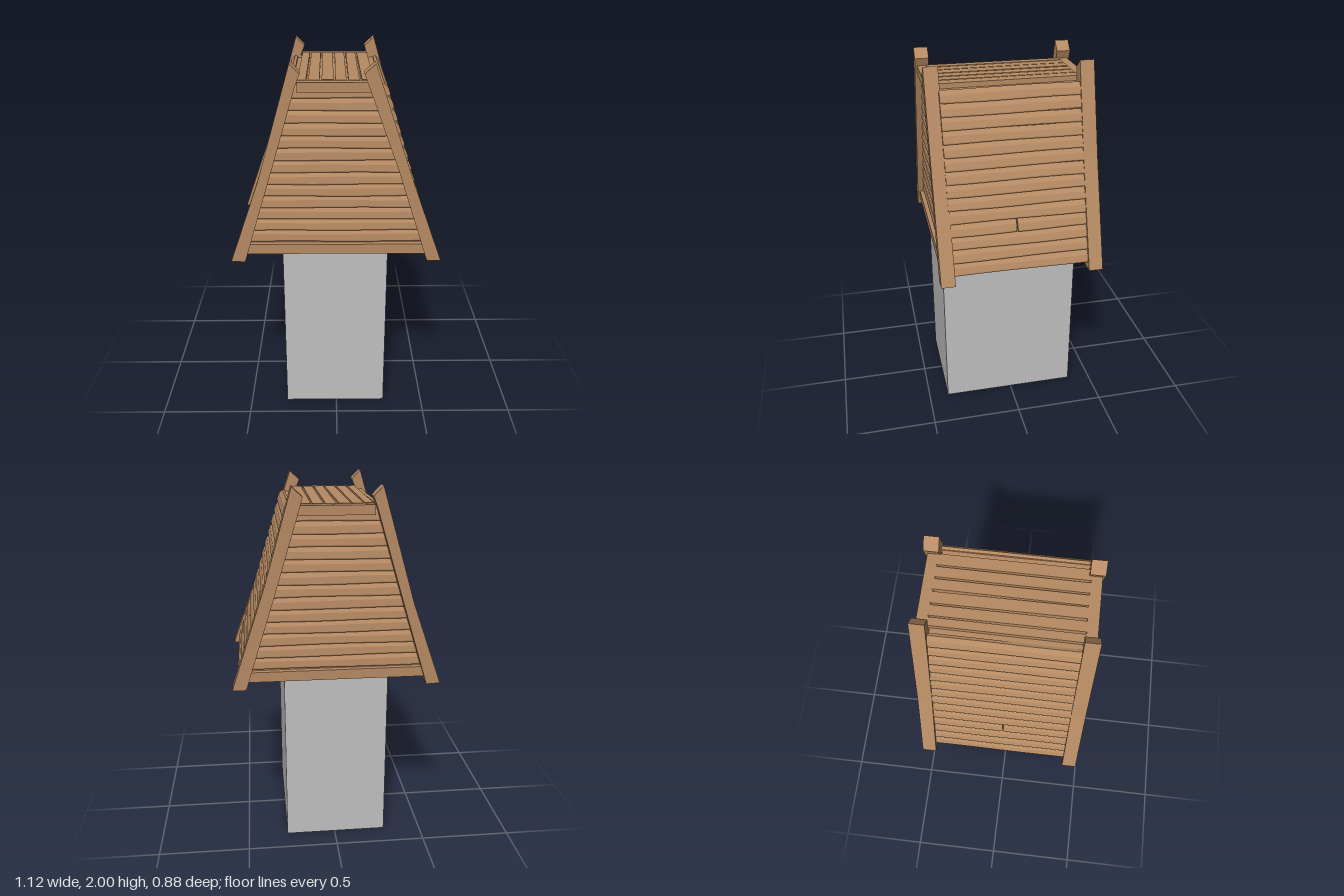
import * as THREE from 'three';

const wood = new THREE.MeshStandardMaterial({ color: 0xb58a63 });
wood.name = 'brown wood';
const stone = new THREE.MeshStandardMaterial({ color: 0xbfbfbf, side: THREE.DoubleSide });
stone.name = 'grey stone';

const ROWS = 14, BASE = 0.982, TOP = 1.892;
const PITCH = (TOP - BASE) / ROWS;

// small seeded generator for the hand-cut look
let seed = 7;
const rand = () => {
  seed = (seed * 16807) % 2147483647;
  return seed / 2147483647;
};

// distance of the corner beams' centre line from the middle at height y
const beamX = (y) => 0.525 - 0.315 * (y - 0.945) / 1.03;

function addMesh(parent, geometry, material, name) {
  const mesh = new THREE.Mesh(geometry, material);
  mesh.name = name;
  parent.add(mesh);
  return mesh;
}

function addBox(parent, size, position, name) {
  const mesh = addMesh(parent, new THREE.BoxGeometry(...size), wood, name);
  mesh.position.set(...position);
  return mesh;
}

// Plank running along z, bevelled face towards +x, with slightly wavy edges
function plankGeometry(length) {
  const h = PITCH * 0.53;
  const shape = new THREE.Shape([
    [-0.012, -h], [0.016, -h], [0.019, -h * 0.8], [0.017, h * 0.2], [0.004, h], [-0.012, h], [-0.02, h * 0.6], [-0.02, -h * 0.6],
  ].map(([x, y]) => new THREE.Vector2(x, y)));
  const geo = new THREE.ExtrudeGeometry(shape, { depth: length, steps: 6, bevelEnabled: false });
  geo.translate(0, 0, -length / 2);
  const p = geo.attributes.position;
  const phase = rand() * 6.28, freq = 5 + rand() * 5;
  for (let i = 0; i < p.count; i++) {
    const edge = p.getY(i) > 0 ? 0 : 1.3;
    p.setY(i, p.getY(i) + 0.002 * Math.sin(p.getZ(i) * freq + phase + edge));
  }
  geo.computeVertexNormals();
  return geo;
}

// Corner beam outline in the front plane, extruded in depth
function addBeam(parent, points, z, name) {
  const shape = new THREE.Shape(points.map(([x, y]) => new THREE.Vector2(x, y)));
  const geo = new THREE.ExtrudeGeometry(shape, { depth: 0.076, bevelEnabled: false });
  addMesh(parent, geo, wood, name).position.z = z;
}

export function createModel() {
  const model = new THREE.Group();
  model.name = 'timberTopTower';

  // Shaft: four walls, open above and below
  const shaft = new THREE.BoxGeometry(0.567, 0.99, 0.76);
  const index = Array.from(shaft.index.array);
  shaft.setIndex([...index.slice(0, 12), ...index.slice(24)]);
  shaft.clearGroups();
  addMesh(model, shaft, stone, 'shaft').position.set(-0.007, 0.495, 0.01);

  // Corner beams, each with its own slight bend
  const right = [[-0.565, 0.945], [-0.49, 0.942], [-0.335, 1.45], [-0.2, 1.9], [-0.18, 1.95], [-0.23, 2], [-0.405, 1.4]];
  const frontLeft = [[0.485, 0.945], [0.56, 0.945], [0.395, 1.4], [0.19, 2], [0.135, 1.95], [0.165, 1.87], [0.32, 1.45]];
  const backLeft = [[0.48, 0.945], [0.555, 0.945], [0.365, 1.52], [0.225, 2], [0.17, 1.95], [0.19, 1.88], [0.32, 1.45]];
  addBeam(model, right, 0.36, 'frontRightBeam');
  addBeam(model, right, -0.44, 'backRightBeam');
  addBeam(model, frontLeft, 0.36, 'frontLeftBeam');
  addBeam(model, backLeft, -0.44, 'backLeftBeam');

  // Plank rows on the two sloping sides and the two gables
  for (let row = 0; row < ROWS; row++) {
    const y = BASE + (row + 0.5) * PITCH;
    for (const side of [1, -1]) {
      const holder = new THREE.Group();
      holder.name = 'sidePlankRow';
      holder.position.set(side * (beamX(y) - 0.003), y, 0);
      holder.rotation.y = side > 0 ? 0 : Math.PI;
      model.add(holder);
      const tilt = 0.27 + rand() * 0.04;
      // one row is split in two by a narrow crack
      const pieces = row === 3 ? [[0.376, -0.179], [0.352, 0.191]] : [[0.734, 0]];
      for (const [length, z] of pieces) {
        const plank = addMesh(holder, plankGeometry(length), wood, 'sidePlank');
        plank.position.z = z * side;
        plank.rotation.z = tilt;
      }
      // batten behind the crack
      if (row === 3) {
        addBox(holder, [0.01, PITCH, 0.06], [-0.014, 0, 0.012 * side], 'crackBatten').rotation.z = tilt;
      }

      // gable planks sit back between the beams
      const gable = new THREE.Group();
      gable.name = 'gablePlankRow';
      gable.position.set(0, y, side * 0.383);
      gable.rotation.y = -side * Math.PI / 2;
      model.add(gable);
      const plank = addMesh(gable, plankGeometry(2 * beamX(y) - 0.04), wood, 'gablePlank');
      plank.rotation.z = 0.03 + rand() * 0.04;
    }
  }

  // Flat top: lengthwise boards with dark grooves over a wider deck
  addBox(model, [0.46, 0.02, 0.72], [0, 1.873, 0], 'topDeck');
  const edges = [-0.198, -0.145, -0.08, -0.01, 0.055, 0.12, 0.19];
  for (let i = 0; i < edges.length - 1; i++) {
    const width = edges[i + 1] - edges[i] - 0.01;
    const board = addBox(model, [width, 0.03, 0.75], [(edges[i] + edges[i + 1]) / 2, 1.893 + rand() * 0.003, 0], 'topBoard');
    board.rotation.y = (rand() - 0.5) * 0.01;
  }

  // Trim boards across the top and bottom of both gables
  for (const side of [1, -1]) {
    addBox(model, [0.39, 0.05, 0.056], [0, 1.882, side * 0.397], 'topTrim');
    addBox(model, [0.99, 0.055, 0.052], [0, 1.01, side * 0.396], 'bottomTrim');
  }
  return model;
}
